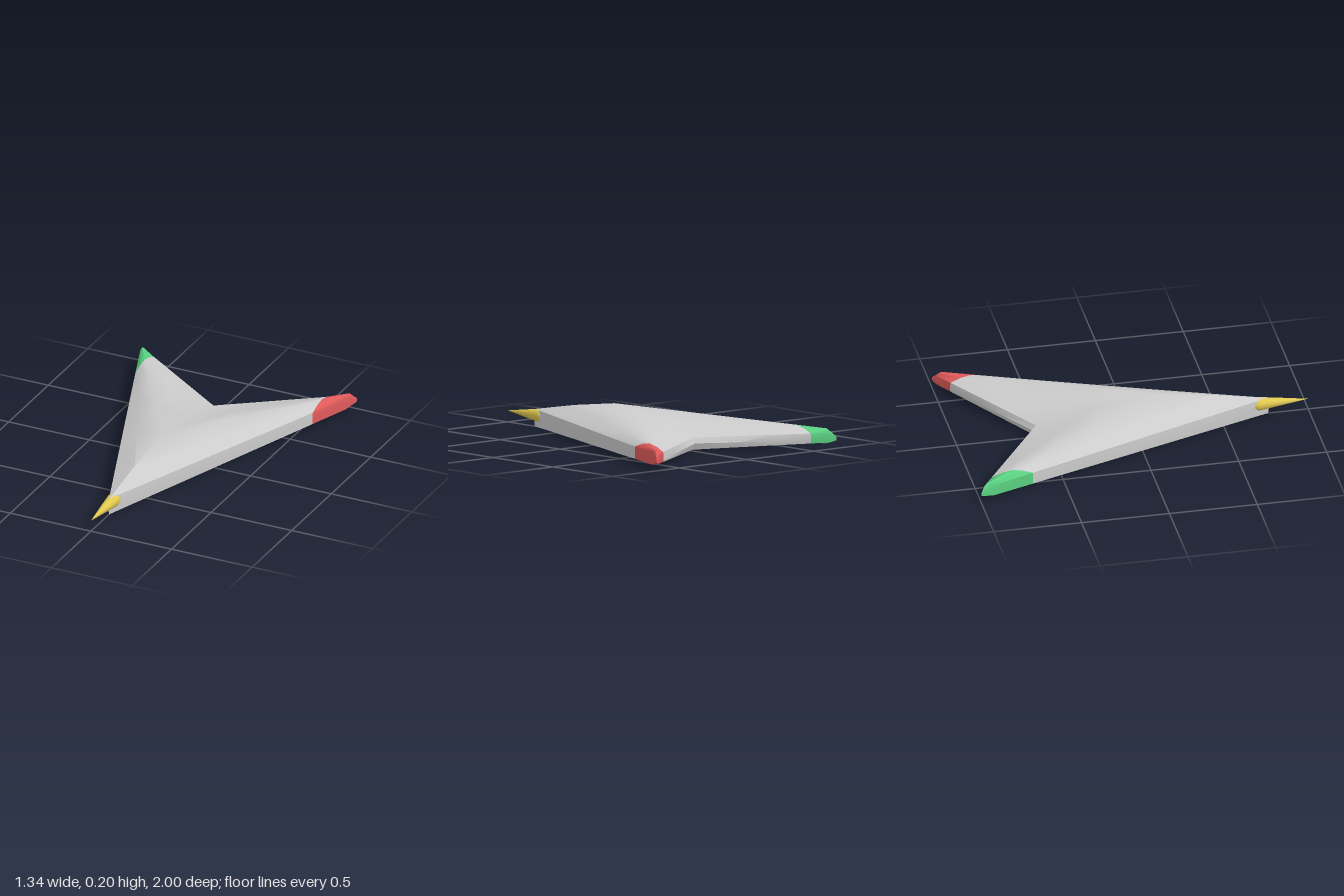
import * as THREE from 'three';
import { toCreasedNormals } from 'three/addons/utils/BufferGeometryUtils.js';

const SHOULDER = 0.64, TIP = 0.67;

// Closed wing section at span x, ordered nose -> top -> tail -> bottom
function section(x) {
  const a = Math.abs(x);
  const lead = 0.78 - 2.657 * a, trail = -0.57 - 0.642 * a;
  const k = Math.max(0, (a - SHOULDER) / (TIP - SHOULDER)); // closing of the tip
  const s = Math.min(a, SHOULDER);
  const mix = (y, end) => y + (end - y) * k;
  const ridge = mix(0.2 - 0.14 * s, 0.065);
  const low = mix(0.04 * s, 0.045);
  const front = mix(0.097 - 0.01 * s, 0.062);
  const back = mix(0.075 + 0.02 * s, 0.06);
  return [
    [0, mix(0.055, 0.055)],
    [0.006, front],
    [0.25, (ridge + front) / 2 + 0.006 * (1 - k)],
    [0.5, ridge],
    [0.75, (ridge + back) / 2 + 0.006 * (1 - k)],
    [0.985, back],
    [1, mix(0.045, 0.052)],
    [0.985, low + 0.008 * (1 - k)],
    [0.5, low],
    [0.006, low],
  ].map(([t, y]) => [x, y, lead + (trail - lead) * t]);
}

// Skin stretched over sections with x rising
function loft(xs) {
  const rings = xs.map(section), n = rings[0].length, index = [];
  for (let i = 0; i < xs.length - 1; i++) {
    for (let j = 0; j < n; j++) {
      const a = i * n + j, b = i * n + (j + 1) % n;
      index.push(a, a + n, b + n, a, b + n, b);
    }
  }
  const g = new THREE.BufferGeometry();
  g.setAttribute('position', new THREE.Float32BufferAttribute(rings.flat(2), 3));
  g.setIndex(index);
  return toCreasedNormals(g, 0.7);
}

function part(name, geometry, color) {
  const material = new THREE.MeshStandardMaterial({ color, side: THREE.DoubleSide });
  const mesh = new THREE.Mesh(geometry, material);
  mesh.name = name;
  return mesh;
}

export function createModel() {
  const model = new THREE.Group();
  model.name = 'arrowheadCraft';

  // Swept wing body
  model.add(part('wingBody', loft([-0.55, -0.4, -0.2, 0, 0.2, 0.4, 0.55]), 0xcccccc));

  // Coloured wing tips
  model.add(part('leftWingTip', loft([0.55, SHOULDER, TIP]), 0xe05a5a));
  model.add(part('rightWingTip', loft([-TIP, -SHOULDER, -0.55]), 0x5ad080));

  // Pointed nose spike with a rounded base
  const profile = [[0, 0.67], [0.022, 0.677], [0.035, 0.695], [0.038, 0.72], [0.028, 0.8], [0, 1]]
    .map(([r, z]) => new THREE.Vector2(r, z));
  const spike = part('noseSpike', new THREE.LatheGeometry(profile, 16), 0xe0c850);
  spike.rotation.x = Math.PI / 2;
  spike.position.y = 0.065;
  model.add(spike);

  return model;
}
